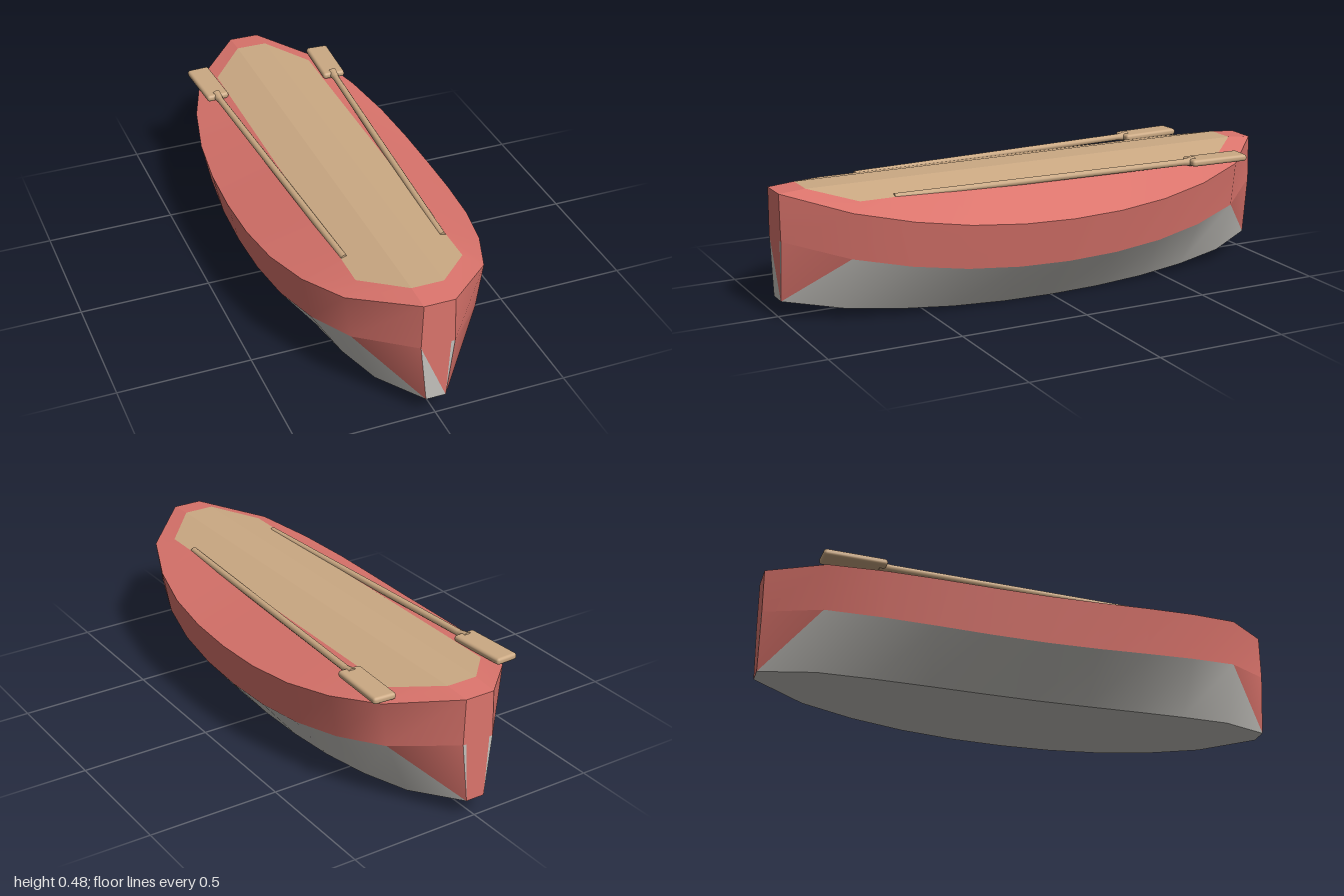
import * as THREE from 'three';
import { RoundedBoxGeometry } from 'three/addons/geometries/RoundedBoxGeometry.js';

const red = new THREE.MeshStandardMaterial({ color: 0xdb746c });
red.name = 'hullRed';
const grey = new THREE.MeshStandardMaterial({ color: 0xc4c2bd });
grey.name = 'keelGrey';
const tan = new THREE.MeshStandardMaterial({ color: 0xcba983 });
tan.name = 'wood';

// half-widths of the sheer line from midship (0) to either tip (1)
const SHEER = [0.41, 0.405, 0.385, 0.34, 0.26, 0.058];
const TIP_CHINE = 0.063, TIP_BOTTOM = 0.037;

// closed cross-section, counted from the bottom around the +x side
function section(i) {
  const k = Math.abs(i), z = i / 5, q = z * z, tip = k === 5;
  const s = SHEER[k];
  const c = tip ? TIP_CHINE : s * 0.905;
  const b = tip ? TIP_BOTTOM : s * 0.555;
  const dz = Math.sign(i) * (tip ? 0.9 : k === 4 ? 0.75 : k / 5);
  const half = [
    [b, 0.068 * q, z],                       // bottom
    [c, 0.17 + 0.128 * q, z],                // chine
    [s, 0.34 + 0.132 * q, z],                // sheer
    [tip ? 0.06 : 0.2, tip ? 0.48 : 0.448, dz], // deck edge
    [0.06, 0.48, dz],                        // deck crown
  ];
  const mirror = half.map(([x, y, w]) => [-x, y, w]).reverse();
  return [mirror[4], ...half, ...mirror.slice(0, 4)];
}
const sections = [];
for (let i = -5; i <= 5; i++) sections.push(section(i));

function build(name, points, first, second, materials) {
  const g = new THREE.BufferGeometry();
  g.setAttribute('position', new THREE.Float32BufferAttribute(points.flat(), 3));
  g.setIndex([...first, ...second]);
  g.addGroup(0, first.length, 0);
  if (second.length) g.addGroup(first.length, second.length, 1);
  g.computeVertexNormals();
  const mesh = new THREE.Mesh(g, materials);
  mesh.name = name;
  return mesh;
}

// lengthwise strip between corners k and k+1 of every section
function band(name, k, material, split = false) {
  const points = [], first = [], second = [];
  sections.forEach((s) => points.push(s[k], s[(k + 1) % 10]));
  for (let i = 0; i < 10; i++) {
    const a = 2 * i, b = a + 1, a2 = a + 2, b2 = a + 3;
    const flip = (k === 1 && i === 0) || (k === 9 && i === 9);
    const t1 = flip ? [a, b, b2] : [a, b, a2];
    const t2 = flip ? [a, b2, a2] : [b, b2, a2];
    // at the tips the upper triangle takes the second colour
    (split && i === 0 ? second : first).push(...t1);
    (split && i === 9 ? second : first).push(...t2);
  }
  return build(name, points, first, second, [material, red]);
}

// flat end plate with the small sloping top behind it
function endCap(front) {
  const s = sections[front ? 10 : 0];
  const [bL, bR, cR, sR] = s;
  const sL = s[8], cL = s[9];
  const t = (cR[1] - bR[1]) / (sR[1] - bR[1]);
  const mR = bR.map((v, i) => v + (sR[i] - v) * t);
  const mL = [-mR[0], mR[1], mR[2]];
  const greyTris = [[bR, cR, mR]];
  const redTris = [[bR, sR, sL], [mR, cR, sR], [sL, sR, s[5]], [sL, s[5], s[6]]];
  if (front) {
    greyTris.push([bL, bR, cL]);
    redTris.push([cL, bR, sL]);
  } else {
    greyTris.push([bL, mL, cL]);
    redTris.push([bL, bR, sL], [cL, mL, sL]);
  }
  const tris = [...greyTris, ...redTris].map((f) => (front ? f : [...f].reverse()));
  const points = tris.flat();
  const ids = points.map((_, i) => i);
  const n = greyTris.length * 3;
  return build(front ? 'bowPlate' : 'sternPlate', points, ids.slice(0, n), ids.slice(n), [grey, red]);
}

// paddle lying along the deck edge, blade to the rear
function paddle(side) {
  const g = new THREE.Group();
  g.name = side > 0 ? 'leftPaddle' : 'rightPaddle';
  const shaft = new THREE.Mesh(new THREE.CylinderGeometry(0.013, 0.013, 1.21, 10), tan);
  shaft.name = 'paddleShaft';
  shaft.rotation.x = Math.PI / 2;
  const neck = new THREE.Mesh(new THREE.CylinderGeometry(0.012, 0.02, 0.05, 10), tan);
  neck.name = 'paddleNeck';
  neck.rotation.x = Math.PI / 2;
  neck.position.z = -0.595;
  const blade = new THREE.Mesh(new RoundedBoxGeometry(0.09, 0.026, 0.24, 2, 0.011), tan);
  blade.name = 'paddleBlade';
  blade.position.z = -0.715;
  g.add(shaft, neck, blade);
  g.position.set(side * 0.218, 0.449, 0.01);
  g.rotation.set(0.006, -Math.PI + Math.PI - side * 0.052 * -1 * -1, 0);
  return g;
}

export function createModel() {
  const model = new THREE.Group();
  model.name = 'boat';
  // hull
  model.add(
    band('bottom', 0, grey),
    band('leftLowerSide', 1, grey, true),
    band('leftUpperSide', 2, red),
    band('leftGunwale', 3, red),
    band('rightGunwale', 7, red),
    band('rightUpperSide', 8, red),
    band('rightLowerSide', 9, grey, true),
    endCap(true),
    endCap(false),
  );
  // deck
  model.add(band('deckLeft', 4, tan), band('deckCentre', 5, tan), band('deckRight', 6, tan));
  // paddles
  for (const side of [1, -1]) {
    const p = paddle(side);
    p.rotation.y = side * 0.052;
    // the blade swings outboard
    if (p.position.x * p.rotation.y > 0) p.rotation.y *= -1;
    model.add(p);
  }
  return model;
}
